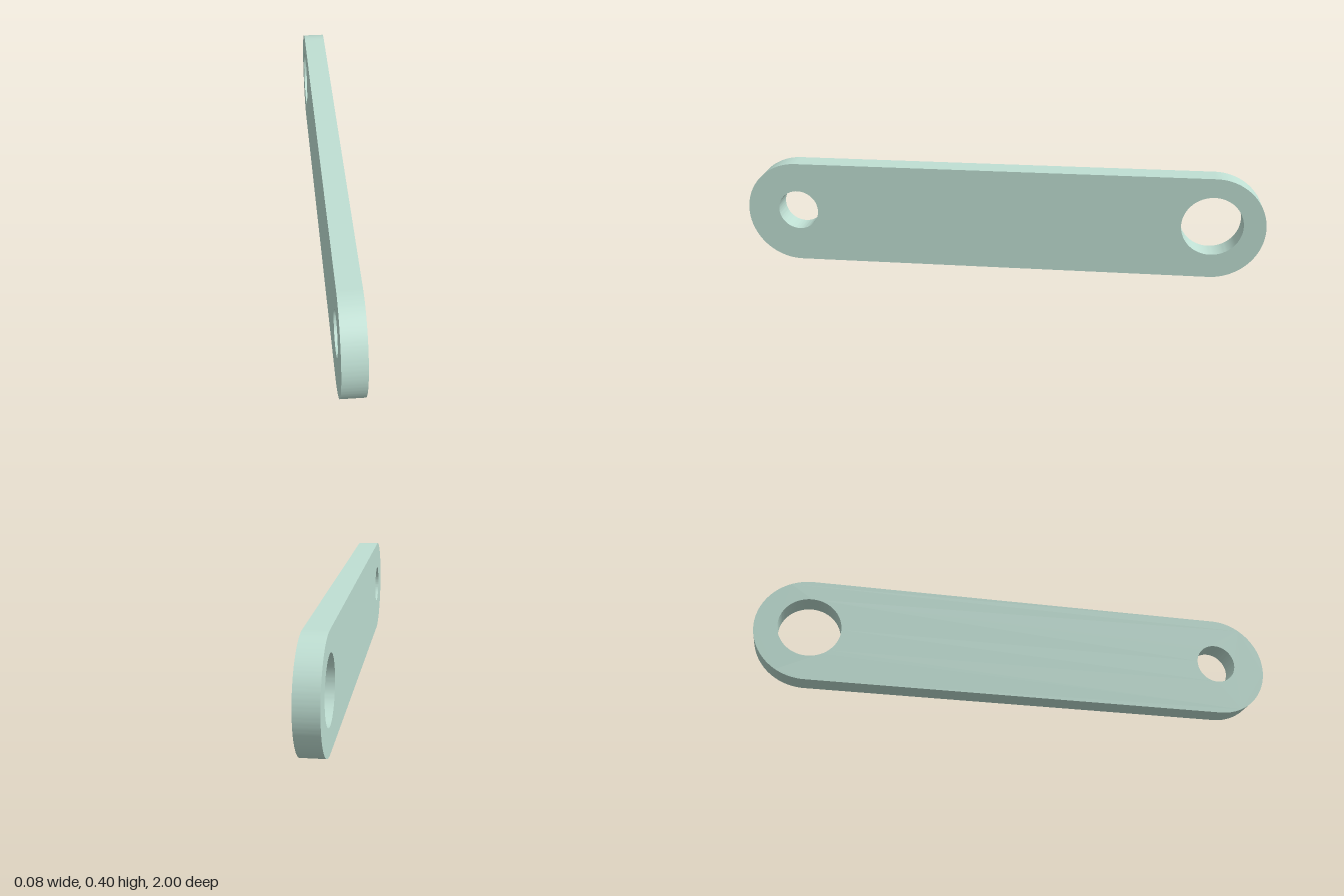
import * as THREE from 'three';
import { toCreasedNormals } from 'three/addons/utils/BufferGeometryUtils.js';

const RADIUS = 0.2; // rounded ends
const REACH = 0.8; // distance of each end's centre from the middle
const THICKNESS = 0.084;
const HOLE_Y = 0.21;

function roundHole(x, radius) {
  return new THREE.Path().absarc(x, HOLE_Y, radius, 0, Math.PI * 2, true);
}

export function createModel() {
  const group = new THREE.Group();
  group.name = 'linkArm';

  // Stadium outline, drawn with the shape's x along the model's z
  const outline = new THREE.Shape();
  outline.absarc(REACH, RADIUS, RADIUS, -Math.PI / 2, Math.PI / 2, false);
  outline.absarc(-REACH, RADIUS, RADIUS, Math.PI / 2, Math.PI * 1.5, false);
  outline.closePath();

  // Small hole at the front, large hole at the back
  outline.holes.push(roundHole(REACH, 0.078), roundHole(-REACH, 0.116));

  const extruded = new THREE.ExtrudeGeometry(outline, {
    depth: THICKNESS,
    bevelEnabled: false,
    curveSegments: 48,
  });
  extruded.translate(0, 0, -THICKNESS / 2);
  extruded.rotateY(-Math.PI / 2);

  const plate = new THREE.Mesh(
    toCreasedNormals(extruded, Math.PI / 6),
    new THREE.MeshStandardMaterial({ color: 0xbfdfd3 })
  );
  plate.name = 'linkPlate';
  group.add(plate);
  return group;
}
